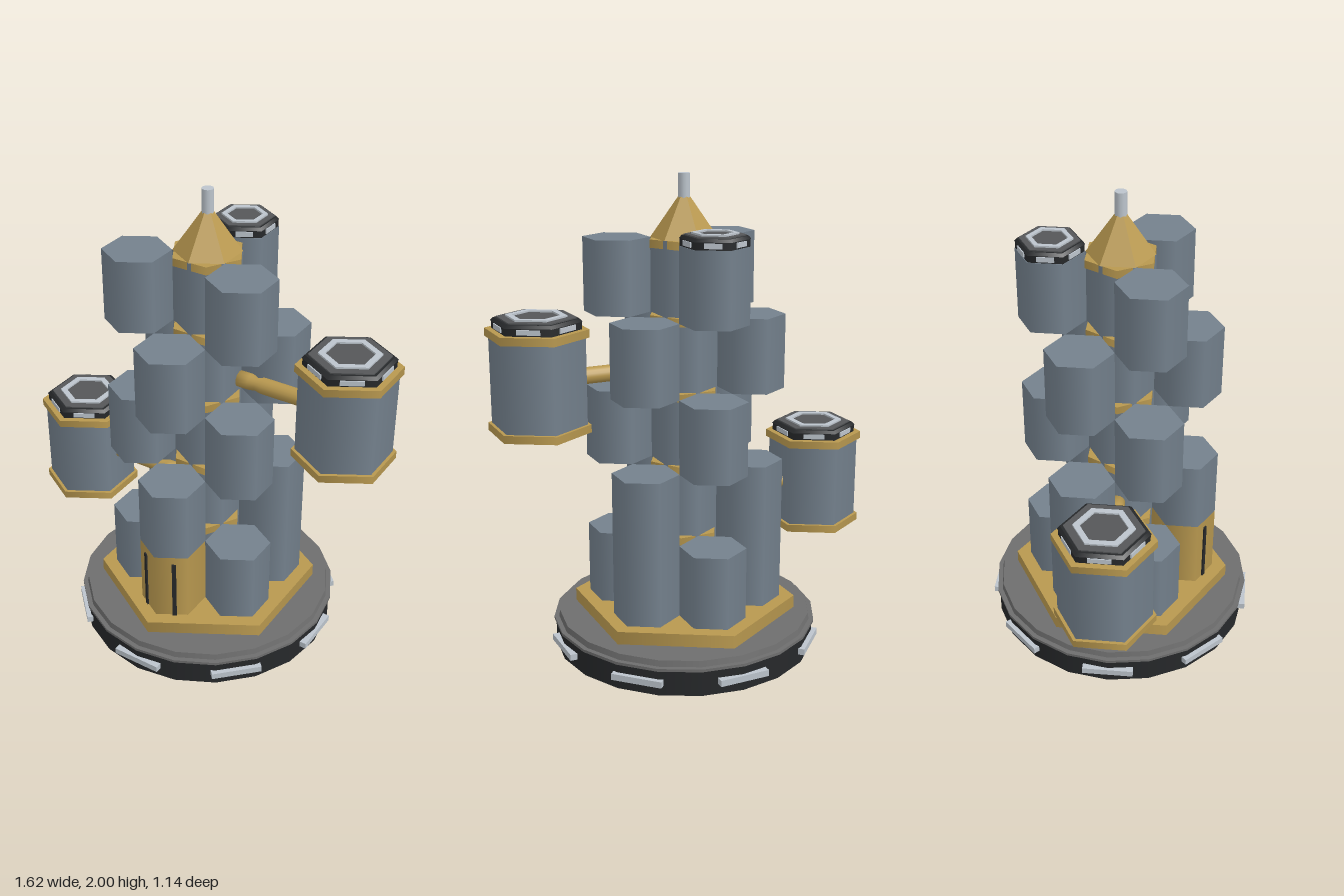
import * as THREE from 'three';

const mat = (color) => new THREE.MeshStandardMaterial({ color });
const HULL = mat(0x74818d), GOLD = mat(0xb8984f), DARK = mat(0x26282a);
const GREY = mat(0x6e6e6e), HATCH = mat(0x555759), LIGHT = mat(0xbcc4cc);

const LEVELS = [0.2, 0.51, 0.82, 1.13, 1.44, 1.745];
const HEX = 0.138;   // module corner radius
const RING = 0.275;  // distance of outer modules from the core

function add(parent, name, geometry, material, x = 0, y = 0, z = 0) {
  const mesh = new THREE.Mesh(geometry, material);
  mesh.name = name;
  mesh.position.set(x, y, z);
  parent.add(mesh);
  return mesh;
}

// Upright prism between two heights; corners point along z when sides = 6
function prism(parent, name, material, rTop, rBottom, y0, y1, x = 0, z = 0, sides = 6) {
  const g = new THREE.CylinderGeometry(rTop, rBottom, y1 - y0, sides);
  return add(parent, name, g, material, x, (y0 + y1) / 2, z);
}

// Light plates spread around a drum
function lightPlates(parent, count, offset, radius, y, w, h, d) {
  for (let i = 0; i < count; i++) {
    const a = offset + (i / count) * Math.PI * 2;
    const p = add(parent, 'lightPlate', new THREE.BoxGeometry(w, h, d), LIGHT,
      Math.sin(a) * radius, y, Math.cos(a) * radius);
    p.rotation.y = a;
  }
}

// Hexagonal roof hatch with lit sides and a bright ring on top
function hatch(parent, r, x, y, z) {
  const g = new THREE.Group();
  g.name = 'roofHatch';
  g.position.set(x, y, z);
  parent.add(g);
  prism(g, 'hatchDrum', DARK, r * 0.98, r * 0.98, 0, 0.03);
  prism(g, 'hatchLip', DARK, r * 0.93, r, 0.03, 0.042);
  prism(g, 'hatchCap', HATCH, r * 0.87, r * 0.87, 0.042, 0.047);
  lightPlates(g, 6, Math.PI / 6, r * 0.855, 0.016, r * 0.5, 0.02, 0.008);
  const hexPath = (Type, radius) => {
    const pts = [];
    for (let i = 0; i < 6; i++) {
      const a = Math.PI / 6 + (i * Math.PI) / 3;
      pts.push(new THREE.Vector2(Math.cos(a) * radius, Math.sin(a) * radius));
    }
    return new Type(pts);
  };
  const shape = hexPath(THREE.Shape, r * 0.67);
  shape.holes.push(hexPath(THREE.Path, r * 0.52));
  const ring = new THREE.ExtrudeGeometry(shape, { depth: 0.008, bevelEnabled: false });
  ring.rotateX(-Math.PI / 2);
  add(g, 'hatchRing', ring, LIGHT, 0, 0.046, 0);
}

// Side pod with gold rims, hatch and connecting arm; side is +1 or -1
function sidePod(parent, side, y, armY) {
  const g = new THREE.Group();
  g.name = side > 0 ? 'leftPod' : 'rightPod';
  parent.add(g);
  const x = side * 0.632;
  prism(g, 'podBody', HULL, 0.192, 0.192, y + 0.02, y + 0.4, x);
  prism(g, 'podLowerRim', GOLD, 0.207, 0.207, y, y + 0.032, x);
  prism(g, 'podUpperRim', GOLD, 0.207, 0.207, y + 0.383, y + 0.415, x);
  hatch(g, 0.182, x, y + 0.415, 0);
  const profile = [[0, 0.153], [0.034, 0.153], [0.034, 0.205], [0.029, 0.235],
    [0.034, 0.265], [0.034, 0.475]].map(([r, d]) => new THREE.Vector2(r, d));
  const arm = add(g, 'podArm', new THREE.LatheGeometry(profile, 16), GOLD, 0, armY, 0);
  arm.rotation.z = -side * Math.PI / 2;
}

export function createModel() {
  const model = new THREE.Group();
  model.name = 'modularTower';

  // Round base with lights
  const base = new THREE.Group();
  base.name = 'base';
  model.add(base);
  prism(base, 'baseDrum', DARK, 0.557, 0.557, 0, 0.11, 0, 0, 20);
  prism(base, 'baseLip', GREY, 0.565, 0.565, 0.108, 0.12, 0, 0, 20);
  prism(base, 'baseTop', GREY, 0.54, 0.545, 0.12, 0.145, 0, 0, 20);
  lightPlates(base, 8, 0, 0.555, 0.057, 0.215, 0.027, 0.03);
  prism(base, 'basePlate', GOLD, 0.476, 0.476, 0.14, 0.2);

  // Central column and gold joints at each floor
  prism(model, 'core', HULL, HEX - 0.001, HEX - 0.001, 0.2, 1.745);
  for (const y of LEVELS.slice(1)) {
    prism(model, 'floorJoint', GOLD, 0.152, 0.152, y - 0.033, y).rotation.y = Math.PI / 6;
  }

  // Outer modules: slot 0 is the front, counting 60 degree steps towards the left side
  const outer = (name, material, slot, y0, y1) => {
    const a = (slot * Math.PI) / 3;
    return prism(model, name, material, HEX, HEX, y0, y1, Math.sin(a) * RING, Math.cos(a) * RING);
  };
  for (let i = 0; i < 5; i++) {
    const slots = i % 2 ? [0, 2, 4] : [1, 3, 5];
    for (const s of slots) {
      const tall = i === 1 && s !== 0;
      outer(tall ? 'tallModule' : 'module', HULL, s, tall ? LEVELS[0] : LEVELS[i], LEVELS[i + 1]);
    }
  }
  hatch(model, HEX, 0, 1.745, -RING);

  // Gold entrance with two dark slots
  outer('entrance', GOLD, 0, 0.2, 0.51);
  for (const s of [-1, 1]) {
    const slot = add(model, 'entranceSlot', new THREE.BoxGeometry(0.018, 0.275, 0.012), DARK,
      s * 0.07, 0.3375, RING + HEX - 0.07 * Math.tan(Math.PI / 6));
    slot.rotation.y = s * Math.PI / 6;
  }

  // Side pods
  sidePod(model, 1, 1.015, 1.22);
  sidePod(model, -1, 0.44, 0.648);

  // Roof cone and mast
  const coneMat = GOLD.clone();
  coneMat.flatShading = true;
  prism(model, 'roofCone', coneMat, 0.012, 0.137, 1.745, 1.925);
  prism(model, 'mast', LIGHT, 0.024, 0.024, 1.87, 2.0, 0, 0, 12);

  return model;
}
